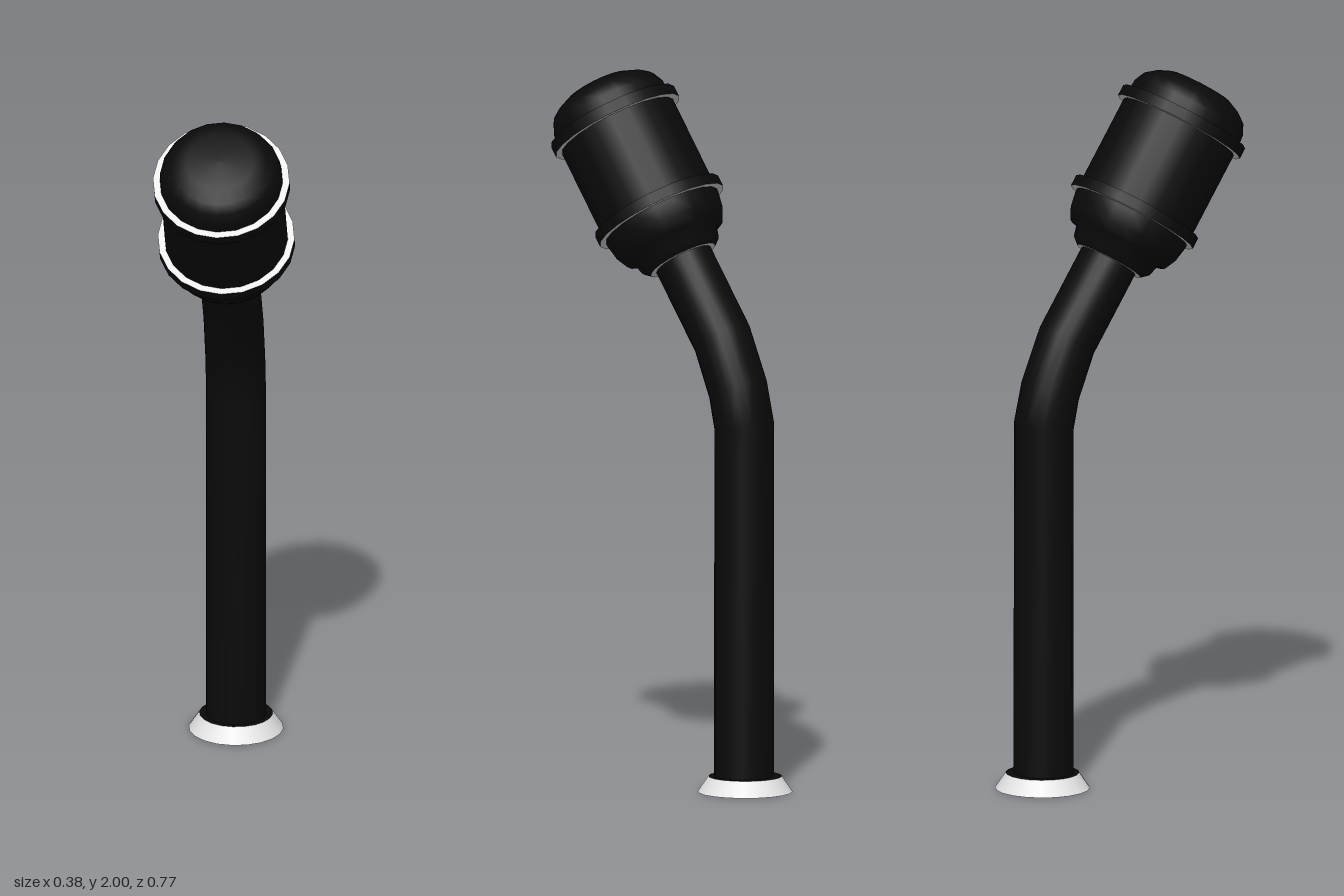
import * as THREE from 'three';

const SIDES = 20;
const TILT = THREE.MathUtils.degToRad(33.6);

export function createModel() {
  const model = new THREE.Group();
  model.name = 'microphone';
  const black = new THREE.MeshStandardMaterial({ color: 0x0a0a0a });
  black.name = 'black';
  const light = new THREE.MeshStandardMaterial({ color: 0xe6e6e6 });
  light.name = 'lightGrey';

  const add = (parent, name, geometry, material, x = 0, y = 0, z = 0) => {
    const mesh = new THREE.Mesh(geometry, material);
    mesh.name = name;
    mesh.position.set(x, y, z);
    parent.add(mesh);
    return mesh;
  };

  // Flared foot: light side, black ends
  add(model, 'foot', new THREE.CylinderGeometry(0.103, 0.133, 0.044, SIDES),
    [light, black, black], 0, 0.022, -0.254);

  // Bent stem: cylinder rows moved onto a path of [z, y, tilt in degrees], top to bottom
  const path = [
    [-0.012, 1.512, 33.6],
    [-0.172, 1.272, 32],
    [-0.228, 1.135, 22],
    [-0.25, 1.035, 9],
    [-0.25, 0.04, 0],
  ];
  const stem = new THREE.CylinderGeometry(0.084, 0.084, 1, SIDES, path.length - 1, true);
  const p = stem.attributes.position;
  for (let i = 0; i < p.count; i++) {
    const [z, y, degrees] = path[Math.round((0.5 - p.getY(i)) * (path.length - 1))];
    const a = THREE.MathUtils.degToRad(degrees);
    const r = p.getZ(i);
    p.setXYZ(i, p.getX(i), y - r * Math.sin(a), z + r * Math.cos(a));
  }
  stem.computeVertexNormals();
  add(model, 'stem', stem, black);

  // Tilted head, with its origin at the upper band
  const head = new THREE.Group();
  head.name = 'head';
  head.position.set(0, 1.849, 0.214);
  head.rotation.x = TILT;
  model.add(head);

  // Capsule with a stepped lower end and a rounded crown: [radius, height]
  const profile = [
    [0.1, -0.442], [0.119, -0.425], [0.128, -0.392], [0.149, -0.388],
    [0.165, -0.355], [0.173, -0.31], [0.173, 0.01], [0.17, 0.045],
    [0.156, 0.075], [0.132, 0.094], [0.095, 0.111], [0, 0.115],
  ].map(([r, y]) => new THREE.Vector2(r, y));
  add(head, 'capsule', new THREE.LatheGeometry(profile, SIDES), black);

  // Light rim around the neck, facing down
  const rim = add(head, 'neckRim', new THREE.RingGeometry(0.075, 0.1, SIDES), light, 0, -0.442, 0);
  rim.rotation.x = Math.PI / 2;

  // Two raised bands: black outside, light end faces
  for (const [name, y] of [['upperBand', 0], ['lowerBand', -0.286]]) {
    add(head, name, new THREE.CylinderGeometry(0.192, 0.192, 0.032, SIDES),
      [black, light, light], 0, y, 0);
  }
  return model;
}
